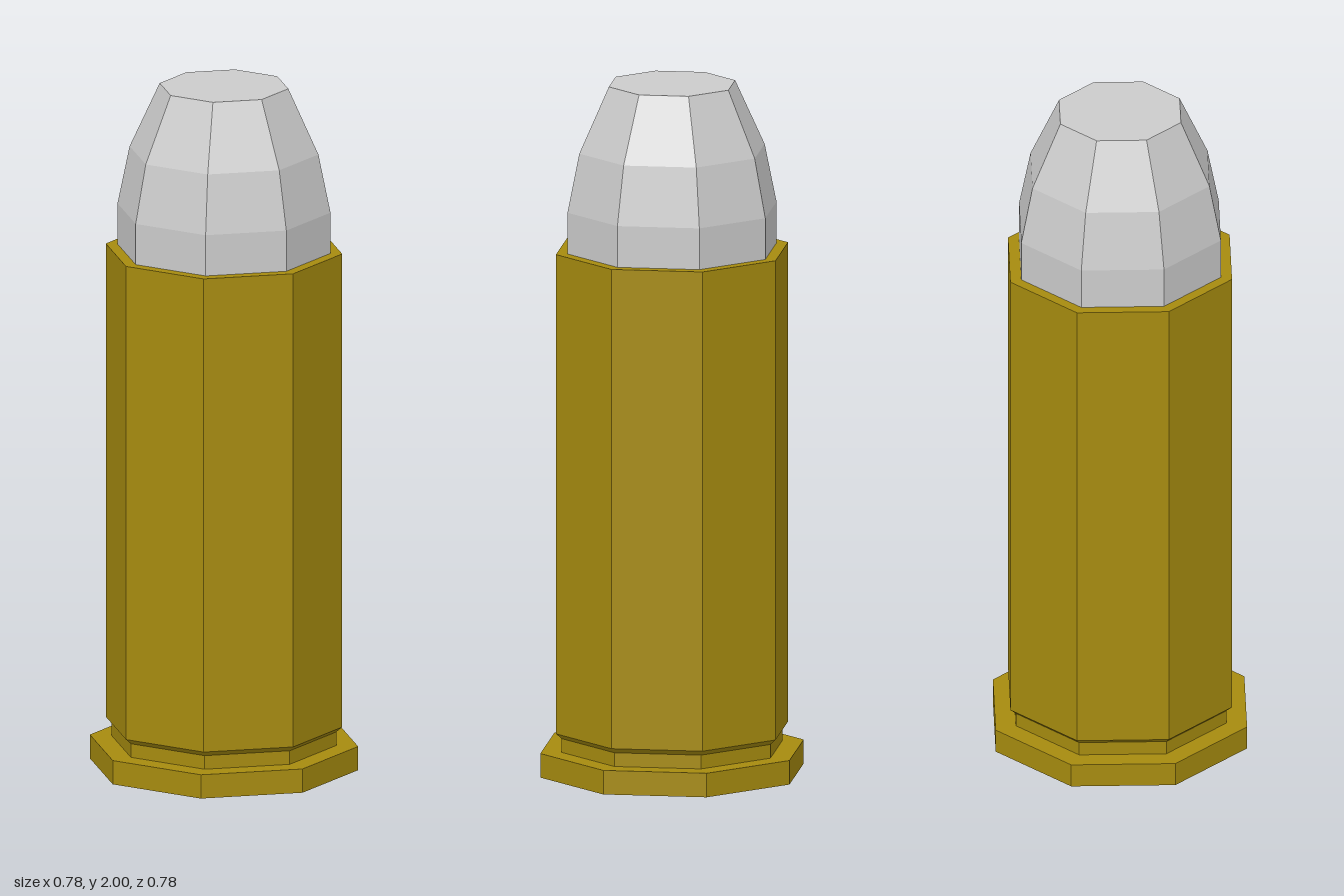
import * as THREE from 'three';

const SIDES = 8;

// Eight-sided turned part; profile runs from the bottom up as [radius, y]
function turned(name, profile, material) {
  const points = profile.map(([r, y]) => new THREE.Vector2(r, y));
  const mesh = new THREE.Mesh(new THREE.LatheGeometry(points, SIDES), material);
  mesh.name = name;
  return mesh;
}

export function createModel() {
  const group = new THREE.Group();
  group.name = 'cartridge';
  const brass = new THREE.MeshStandardMaterial({ color: 0xa68b0f, flatShading: true });
  const lead = new THREE.MeshStandardMaterial({ color: 0xcccccc, flatShading: true });

  // Recessed primer face in the base
  group.add(turned('primer', [[0, 0.03], [0.115, 0.03]], brass));

  // Primer pocket, rim, extractor groove, chamfer, wall and mouth
  group.add(turned('case', [
    [0.115, 0.03], [0.115, 0],
    [0.388, 0], [0.388, 0.07],
    [0.325, 0.07], [0.325, 0.11],
    [0.342, 0.125], [0.342, 1.52],
    [0.308, 1.52],
  ], brass));

  // Flat-nosed bullet seated in the mouth
  group.add(turned('bullet', [
    [0.308, 1.52], [0.308, 1.64],
    [0.273, 1.81], [0.186, 2], [0, 2],
  ], lead));

  return group;
}
